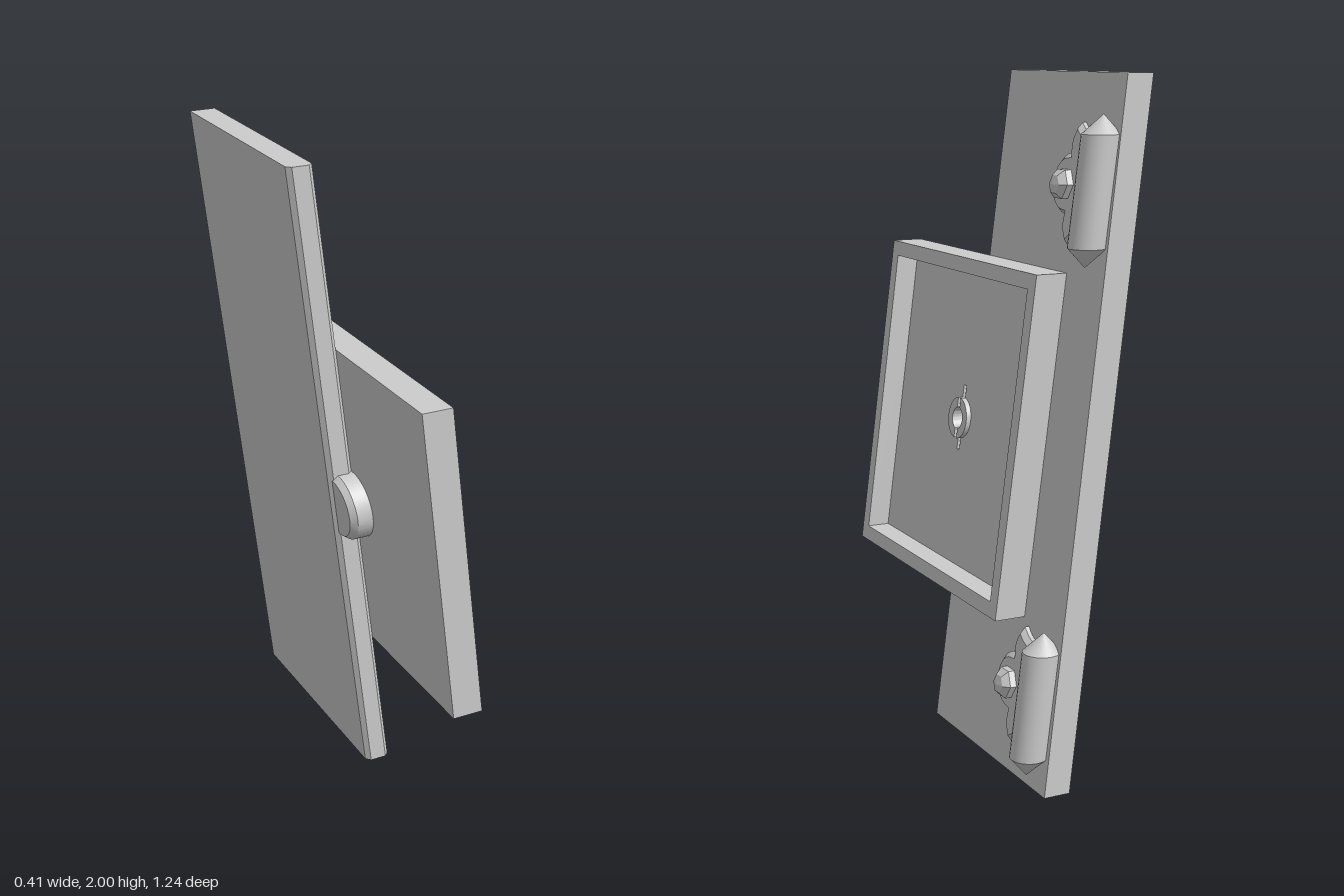
import * as THREE from 'three';
import { toCreasedNormals } from 'three/addons/utils/BufferGeometryUtils.js';

const material = new THREE.MeshStandardMaterial({ color: 0xcccccc, side: THREE.DoubleSide });
const FACE = 0.135; // x of the door's outer face before leaning
const LEAN = new THREE.Matrix4().set(1, -0.13, 0, 0, 0, 1, 0, 0, 0, 0, 1, 0, 0, 0, 0, 1);

// Every part is modelled upright, then leaned with the door.
function addPart(group, name, geometry, crease = 0.6) {
  geometry.applyMatrix4(LEAN);
  const mesh = new THREE.Mesh(toCreasedNormals(geometry, crease), material);
  mesh.name = name;
  group.add(mesh);
}

// Extrudes a side profile (u = -z, v = y) outwards along +x.
function plate(shape, depth, x, options = {}) {
  const g = new THREE.ExtrudeGeometry(shape, { depth, bevelEnabled: false, curveSegments: 16, ...options });
  return g.rotateY(Math.PI / 2).translate(x, 0, 0);
}

function rect(Type, u0, u1, v0, v1) {
  return new Type([[u0, v0], [u1, v0], [u1, v1], [u0, v1]].map(p => new THREE.Vector2(...p)));
}

// Lathe around the x axis, growing towards +x.
function turned(points, sides) {
  return new THREE.LatheGeometry(points.map(p => new THREE.Vector2(...p)), sides).rotateZ(-Math.PI / 2);
}

function doorGeometry() {
  // plan outline (x, -z) with two small chamfers on the front edge
  const c = 0.014;
  const plan = new THREE.Shape([
    [0.055, -0.12 + c], [0.055 + c, -0.12], [FACE - c, -0.12],
    [FACE, -0.12 + c], [FACE, 0.615], [0.055, 0.615],
  ].map(p => new THREE.Vector2(...p)));
  const g = new THREE.ExtrudeGeometry(plan, { depth: 2, bevelEnabled: false }).rotateX(-Math.PI / 2);
  // the hinge edge tapers slightly towards the top
  const p = g.attributes.position;
  for (let i = 0; i < p.count; i++) {
    if (p.getZ(i) < -0.3) p.setZ(i, -0.615 + 0.02 * p.getY(i));
  }
  return g;
}

function addLockPanel(group) {
  const u = -0.12, v = 0.945, floor = 0.025;
  const r = 0.033, R = 0.063, w = 0.008, slot = 0.1;

  // raised square border
  const border = rect(THREE.Shape, -0.62, 0.378, 0.455, 1.445);
  border.holes.push(rect(THREE.Path, -0.575, 0.333, 0.5, 1.4));
  addPart(group, 'panelBorder', plate(border, 0.095, FACE));

  // recessed floor with a round keyhole and slots above and below
  const base = rect(THREE.Shape, -0.575, 0.333, 0.5, 1.4);
  const hole = new THREE.Path();
  const a = Math.asin(w / r);
  hole.absarc(u, v, r, -Math.PI / 2 + a, Math.PI / 2 - a, false);
  hole.lineTo(u + w, v + slot);
  hole.lineTo(u - w, v + slot);
  hole.absarc(u, v, r, Math.PI / 2 + a, Math.PI * 1.5 - a, false);
  hole.lineTo(u - w, v - slot);
  hole.lineTo(u + w, v - slot);
  base.holes.push(hole);
  addPart(group, 'panelFloor', plate(base, floor, FACE));

  // keyhole collar, split by the slots
  const b = Math.asin(w / R);
  for (const turn of [0, Math.PI]) {
    const half = new THREE.Shape();
    half.absarc(u, v, R, turn - Math.PI / 2 + b, turn + Math.PI / 2 - b, false);
    half.absarc(u, v, r, turn + Math.PI / 2 - a, turn - Math.PI / 2 + a, true);
    addPart(group, 'keyholeCollar', plate(half, 0.015, FACE + floor));
  }

  // round lock case behind the panel, bulging past the door edge
  const lock = turned([[0, 0], [0.09, 0], [0.104, 0.02], [0.104, 0.07], [0, 0.07]], 32);
  addPart(group, 'lockCase', lock.translate(FACE - 0.07, v, -u));
}

function addHinge(group, y, z) {
  const hinge = new THREE.Group();
  hinge.name = 'hinge';
  group.add(hinge);

  // pointed leaf with a round lobe under the bolt
  const s = new THREE.Shape();
  s.moveTo(0.15, 0.145);
  s.lineTo(0.115, 0.145);
  s.quadraticCurveTo(0.072, 0.132, 0.03, 0.17);
  s.quadraticCurveTo(-0.012, 0.13, 0, 0.085);
  s.absarc(0, 0, 0.085, Math.PI / 2, Math.PI * 1.5, false);
  s.quadraticCurveTo(-0.012, -0.13, 0.03, -0.17);
  s.quadraticCurveTo(0.072, -0.132, 0.115, -0.145);
  s.lineTo(0.15, -0.145);
  const leaf = plate(s, 0.012, FACE, {
    bevelEnabled: true, bevelThickness: 0.014, bevelSize: 0.014, bevelOffset: -0.014,
    bevelSegments: 1, curveSegments: 10,
  });
  addPart(hinge, 'hingeLeaf', leaf.translate(0, y, z));

  // faceted bolt head
  const bolt = turned([[0.046, 0], [0.046, 0.045], [0.028, 0.063], [0, 0.07]], 6);
  addPart(hinge, 'hingeBolt', bolt.translate(FACE, y, z), 0.1);

  // barrel with pointed ends
  const barrel = new THREE.LatheGeometry(
    [[0, -0.207], [0.055, -0.153], [0.055, 0.153], [0, 0.207]].map(p => new THREE.Vector2(...p)), 24);
  addPart(hinge, 'hingeBarrel', barrel.translate(FACE + 0.03, y - 0.009, z - 0.17));
}

export function createModel() {
  const model = new THREE.Group();
  model.name = 'leaningDoor';
  addPart(model, 'doorSlab', doorGeometry());
  addLockPanel(model);
  addHinge(model, 1.693, -0.355);
  addHinge(model, 0.266, -0.38);
  return model;
}
